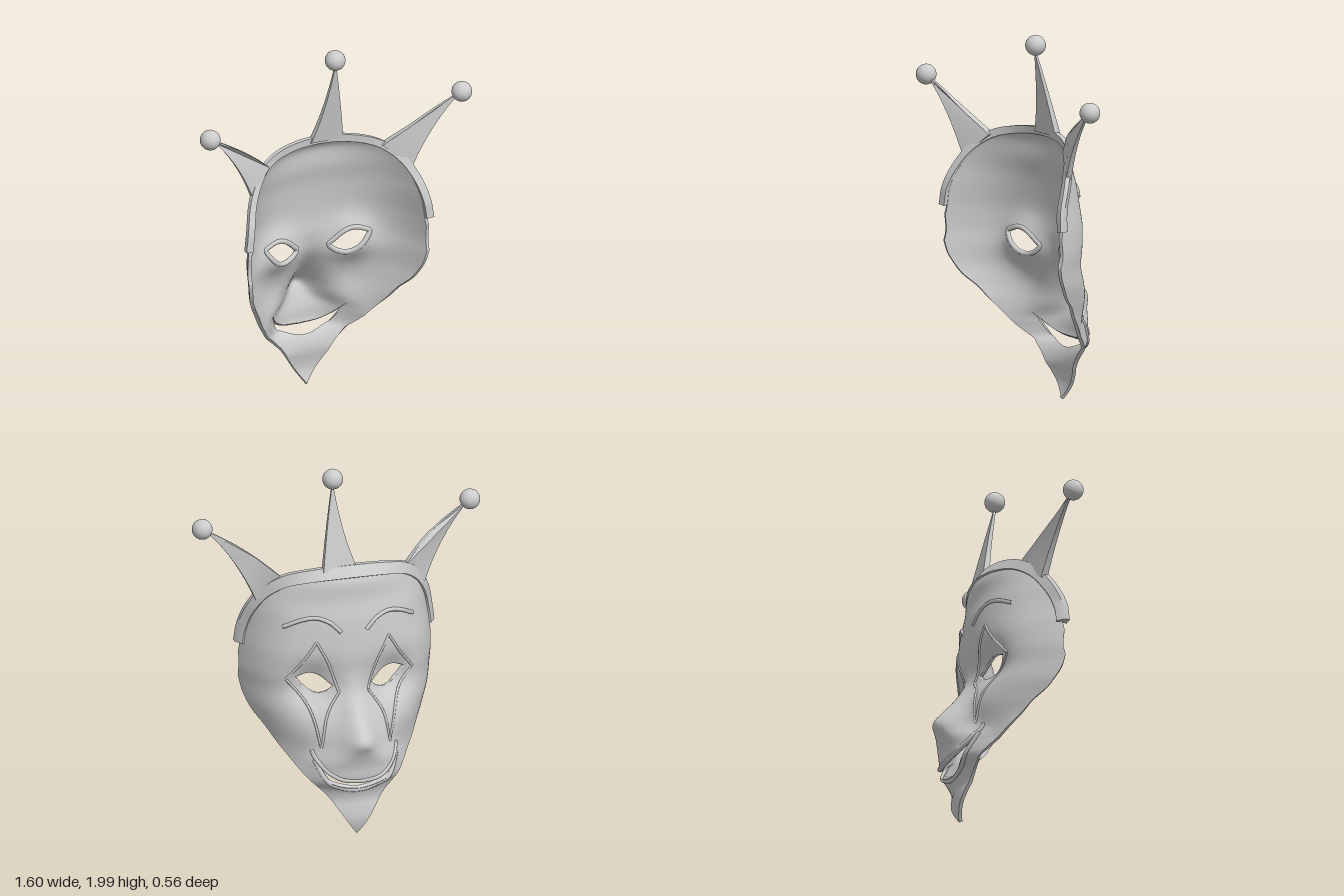
import * as THREE from 'three';
import { toCreasedNormals } from 'three/addons/utils/BufferGeometryUtils.js';

const material = new THREE.MeshStandardMaterial({ color: 0xcccccc, side: THREE.DoubleSide });

// Smooth interpolation through [input, output] pairs
function table(pts) {
  const slope = (i) => {
    const a = pts[Math.max(i - 1, 0)], b = pts[Math.min(i + 1, pts.length - 1)];
    return (b[1] - a[1]) / (b[0] - a[0]);
  };
  return (v) => {
    if (v <= pts[0][0]) return pts[0][1];
    if (v >= pts[pts.length - 1][0]) return pts[pts.length - 1][1];
    let i = 0;
    while (v > pts[i + 1][0]) i++;
    const d = pts[i + 1][0] - pts[i][0], t = (v - pts[i][0]) / d, t2 = t * t, t3 = t2 * t;
    return (2 * t3 - 3 * t2 + 1) * pts[i][1] + (t3 - 2 * t2 + t) * d * slope(i)
      + (3 * t2 - 2 * t3) * pts[i + 1][1] + (t3 - t2) * d * slope(i + 1);
  };
}

// Face relief by y: centre profile, sideways curvature, nose and muzzle
const profile = table([[0, -0.13], [0.04, -0.148], [0.1, -0.16], [0.16, -0.155], [0.22, -0.145], [0.3, -0.15],
  [0.45, -0.14], [0.6, -0.13], [0.7, -0.11], [0.8, -0.085], [0.9, -0.09], [1, -0.095], [1.1, -0.09], [1.2, -0.08],
  [1.3, -0.06], [1.4, -0.055], [1.44, -0.035], [1.48, 0.01]]);
const curve2 = table([[0.4, 1.2], [0.5, 0.95], [0.6, 0.75], [0.7, 0.6], [0.85, 0.5], [1, 0.55], [1.15, 0.7],
  [1.3, 0.8], [1.42, 1.05]]);
const curve6 = table([[0.38, 5], [0.5, 18], [0.6, 15], [0.7, 10.5], [0.85, 8.5], [1, 8.5], [1.15, 8], [1.3, 7]]);
const noseHeight = table([[0.2, 0], [0.28, 0.02], [0.33, 0.07], [0.42, 0.088], [0.5, 0.12], [0.56, 0.15],
  [0.63, 0.11], [0.7, 0.065], [0.8, 0.025], [0.9, 0]]);
const noseWidth = table([[0.3, 0.25], [0.42, 0.23], [0.5, 0.15], [0.56, 0.11], [0.7, 0.08], [0.9, 0.06]]);
const nosePower = table([[0.42, 4], [0.55, 2.2]]);
const bump = (x, y, cx, cy, r) => Math.exp(-((x - cx) ** 2 + (y - cy) ** 2) / (r * r));

function relief(x, y) {
  const ax = Math.abs(x);
  return profile(y) + curve2(y) * x * x + curve6(y) * x ** 6
    - noseHeight(y) * Math.exp(-((ax / noseWidth(y)) ** nosePower(y)))
    + 0.055 * bump(ax, y, 0.22, 0.85, 0.11) - 0.012 * bump(ax, y, 0.24, 0.62, 0.12);
}

// Point on the face, pushed inward along its normal
function onFace(x, y, inward = 0) {
  const e = 0.004;
  const n = new THREE.Vector3(
    (relief(x - e, y) - relief(x + e, y)) / (2 * e),
    (relief(x, y - e) - relief(x, y + e)) / (2 * e), 1).normalize();
  return new THREE.Vector3(x, y, relief(x, y)).addScaledVector(n, inward);
}

// Outline and openings by distance from the middle
const HALF = 0.535;
const bottom = table([[0, 0.01], [0.05, 0.08], [0.11, 0.17], [0.16, 0.24], [0.2, 0.28], [0.27, 0.35], [0.33, 0.43],
  [0.38, 0.5], [0.43, 0.58], [0.49, 0.67], [0.52, 0.75], [HALF, 0.83]]);
const topEdge = [[0, 1.46], [0.2, 1.445], [0.33, 1.41], [0.42, 1.34], [0.48, 1.24], [0.515, 1.12]];
const top = table([...topEdge, [HALF, 0.97]]);
const mouthHigh = table([[0, 0.33], [0.1, 0.342], [0.17, 0.38], [0.21, 0.425], [0.23, 0.46], [0.3, 0.52],
  [0.4, 0.65], [HALF, 0.85]]);
const mouthLow = (x) => x > 0.23 ? mouthHigh(x)
  : Math.min(mouthHigh(x), 0.28 + 1.9 * x * x + 0.079 * Math.max(0, (x - 0.15) / 0.08) ** 2);
const eyeMid = (x) => 0.825 + 0.27 * (Math.min(Math.max(x, 0.1), 0.31) - 0.1);
const eyeArc = (x) => x > 0.1 && x < 0.31 ? Math.sin(Math.PI * (x - 0.1) / 0.21) : 0;
const eyeHigh = (x) => eyeMid(x) + 0.05 * eyeArc(x);
const eyeLow = (x) => eyeMid(x) - 0.06 * eyeArc(x);

// Collects four-cornered faces into a geometry
function quadBuilder() {
  const pos = [];
  return {
    quad: (a, b, c, d) => [a, b, c, a, c, d].forEach((p) => pos.push(p.x, p.y, p.z)),
    build: () => toCreasedNormals(new THREE.BufferGeometry()
      .setAttribute('position', new THREE.Float32BufferAttribute(pos, 3)), 0.7),
  };
}

// Shell in three bands split at the mouth and eyes, with rims on every free edge
function shellGeometry() {
  const { quad, build } = quadBuilder(), cols = 160, thickness = 0.02;
  const xs = Array.from({ length: cols + 1 }, (_, i) => {
    const t = i / cols * 2 - 1;
    return HALF * (0.6 * t + 0.4 * Math.sin(t * Math.PI / 2));
  });
  const bands = [
    { lo: bottom, hi: mouthLow, n: 12, openLo: () => true, openHi: (x) => x < 0.23 },
    { lo: mouthHigh, hi: eyeLow, n: 26, openLo: (x) => x < 0.23, openHi: (x) => eyeArc(x) > 0 },
    { lo: eyeHigh, hi: top, n: 26, openLo: (x) => eyeArc(x) > 0, openHi: () => true },
  ];
  for (const { lo, hi, n, openLo, openHi } of bands) {
    const column = (x, inward) => Array.from({ length: n + 1 }, (_, j) =>
      onFace(x, THREE.MathUtils.lerp(lo(Math.abs(x)), hi(Math.abs(x)), j / n), inward));
    const P = xs.map((x) => column(x, 0)), Q = xs.map((x) => column(x, thickness));
    for (let i = 0; i < cols; i++) {
      const k = i + 1, mid = Math.abs(xs[i] + xs[k]) / 2;
      for (let j = 0; j < n; j++) {
        quad(P[i][j], P[i][j + 1], P[k][j + 1], P[k][j]);
        quad(Q[i][j], Q[k][j], Q[k][j + 1], Q[i][j + 1]);
      }
      if (openLo(mid)) quad(P[i][0], P[k][0], Q[k][0], Q[i][0]);
      if (openHi(mid)) quad(P[i][n], Q[i][n], Q[k][n], P[k][n]);
    }
    for (let j = 0; j < n; j++) {
      quad(P[0][j], Q[0][j], Q[0][j + 1], P[0][j + 1]);
      quad(P[cols][j], P[cols][j + 1], Q[cols][j + 1], Q[cols][j]);
    }
  }
  return build();
}

// Crown band wrapped over the upper edge of the shell
function bandGeometry() {
  const { quad, build } = quadBuilder(), n = 80;
  const half = [...topEdge, [0.53, 1.02]];
  const path = new THREE.CatmullRomCurve3([...half.slice(1).reverse(), ...half.map(([x, y]) => [-x, y])]
    .map(([x, y]) => new THREE.Vector3(x, y, 0)));
  const rings = Array.from({ length: n + 1 }, (_, i) => {
    const p = path.getPointAt(i / n), t = path.getTangentAt(i / n);
    const out = new THREE.Vector3(t.y, -t.x, 0), z = relief(p.x, p.y);
    const lip = p.clone().addScaledVector(out, -0.01 - 0.025 * Math.abs(out.y));
    const edge = p.clone().addScaledVector(out, 0.026);
    return [onFace(lip.x, lip.y, 0.002), onFace(lip.x, lip.y, -0.01), edge.clone().setZ(z),
      edge.clone().setZ(z + 0.028), p.clone().addScaledVector(out, -0.015).setZ(z + 0.024)];
  });
  for (let i = 0; i < n; i++) {
    for (let j = 0; j < 5; j++) {
      const m = (j + 1) % 5;
      quad(rings[i][j], rings[i + 1][j], rings[i + 1][m], rings[i][m]);
    }
  }
  const [a, b, c, d, e] = rings[0], [f, g, h, k, l] = rings[n];
  quad(a, b, c, d); quad(a, d, e, a);
  quad(f, k, h, g); quad(f, l, k, f);
  return build();
}

// Flat spike with two curved edges, bent in z and thinning to the tip
function spikeGeometry(base0, base1, tip, bow0, bow1, bend) {
  const s = new THREE.Shape();
  s.moveTo(...base0);
  s.quadraticCurveTo(...bow0, ...tip);
  s.quadraticCurveTo(...bow1, ...base1);
  const g = new THREE.ExtrudeGeometry(s, { depth: 1, bevelEnabled: false, curveSegments: 14 });
  const p = g.attributes.position;
  for (let i = 0; i < p.count; i++) {
    const x = p.getX(i), y = p.getY(i);
    const thick = 0.01 + 0.055 * Math.hypot(x - tip[0], y - tip[1]);
    p.setZ(i, bend(x, y) + (p.getZ(i) - 0.5) * thick);
  }
  return toCreasedNormals(g, 0.6);
}

// Raised line following the face
function ridge(points, radius, inward = 0, closed = false) {
  const flat = new THREE.CatmullRomCurve3(points.map(([x, y]) => new THREE.Vector3(x, y, 0)), closed);
  const path = flat.getSpacedPoints(40).map((p) => onFace(p.x, p.y, inward));
  if (closed) path.pop();
  return new THREE.TubeGeometry(new THREE.CatmullRomCurve3(path, closed), 60, radius, 8, closed);
}

export function createModel() {
  const model = new THREE.Group();
  const add = (name, geometry) => {
    const mesh = new THREE.Mesh(geometry, material);
    mesh.name = name;
    model.add(mesh);
    return mesh;
  };

  add('maskShell', shellGeometry());
  add('crownBand', bandGeometry());
  add('middleSpike', spikeGeometry([0.145, 1.46], [-0.045, 1.46], [0.062, 1.93], [0.11, 1.7], [0.03, 1.64],
    (x, y) => 0.002 + 0.2 * (y - 1.46)));

  // Balls on the spike tips
  for (const [x, y, z] of [[-0.745, 1.69, 0.225], [0.062, 1.945, 0.09], [0.745, 1.69, 0.225]]) {
    add('spikeBall', new THREE.SphereGeometry(0.055, 32, 20)).position.set(x, y, z);
  }

  // Lips along both edges of the mouth
  const span = Array.from({ length: 21 }, (_, i) => (i / 10 - 1) * 0.228);
  const lip = (edge, dy) => span.map((x) => [x, edge(Math.abs(x)) + dy]);
  add('upperLip', ridge([[-0.235, 0.495], ...lip(mouthHigh, 0.008), [0.235, 0.495]], 0.013, 0.004));
  add('lowerLip', ridge(lip(mouthLow, -0.012), 0.013, 0.004));

  // Side spikes, eye rims, diamonds and brows
  const sideBend = table([[0.3, 0.07], [0.36, 0.105], [0.485, 0.17], [0.74, 0.225]]);
  for (const side of [1, -1]) {
    const name = side > 0 ? 'left' : 'right';
    const flip = (pts) => pts.map(([x, y]) => [x * side, y]);
    add(name + 'Spike', spikeGeometry(...flip([[0.47, 1.285], [0.335, 1.41], [0.74, 1.69], [0.57, 1.53],
      [0.52, 1.58]]), (x) => sideBend(Math.abs(x))));
    const lid = Array.from({ length: 9 }, (_, i) => 0.1 + 0.21 * i / 8);
    const loop = [...lid.map((x) => [x, eyeHigh(x) + 0.006]),
      ...lid.slice(1, -1).reverse().map((x) => [x, eyeLow(x) - 0.006])];
    add(name + 'EyeRim', ridge(flip(loop), 0.014, 0.013, true));
    const apex = [0.2, 1.09], outer = [0.35, 0.875], inner = [0.08, 0.8], tear = [0.19, 0.51];
    const diamond = [
      [apex, [0.27, 0.98], outer], [outer, [0.25, 0.74], tear],
      [tear, [0.155, 0.68], inner], [inner, [0.135, 0.96], apex]];
    diamond.forEach((edge) => add(name + 'DiamondEdge', ridge(flip(edge), 0.007)));
    add(name + 'Brow', ridge(flip([[0.07, 1.14], [0.13, 1.195], [0.2, 1.22], [0.28, 1.205], [0.36, 1.165]]), 0.011));
  }
  return model;
}
